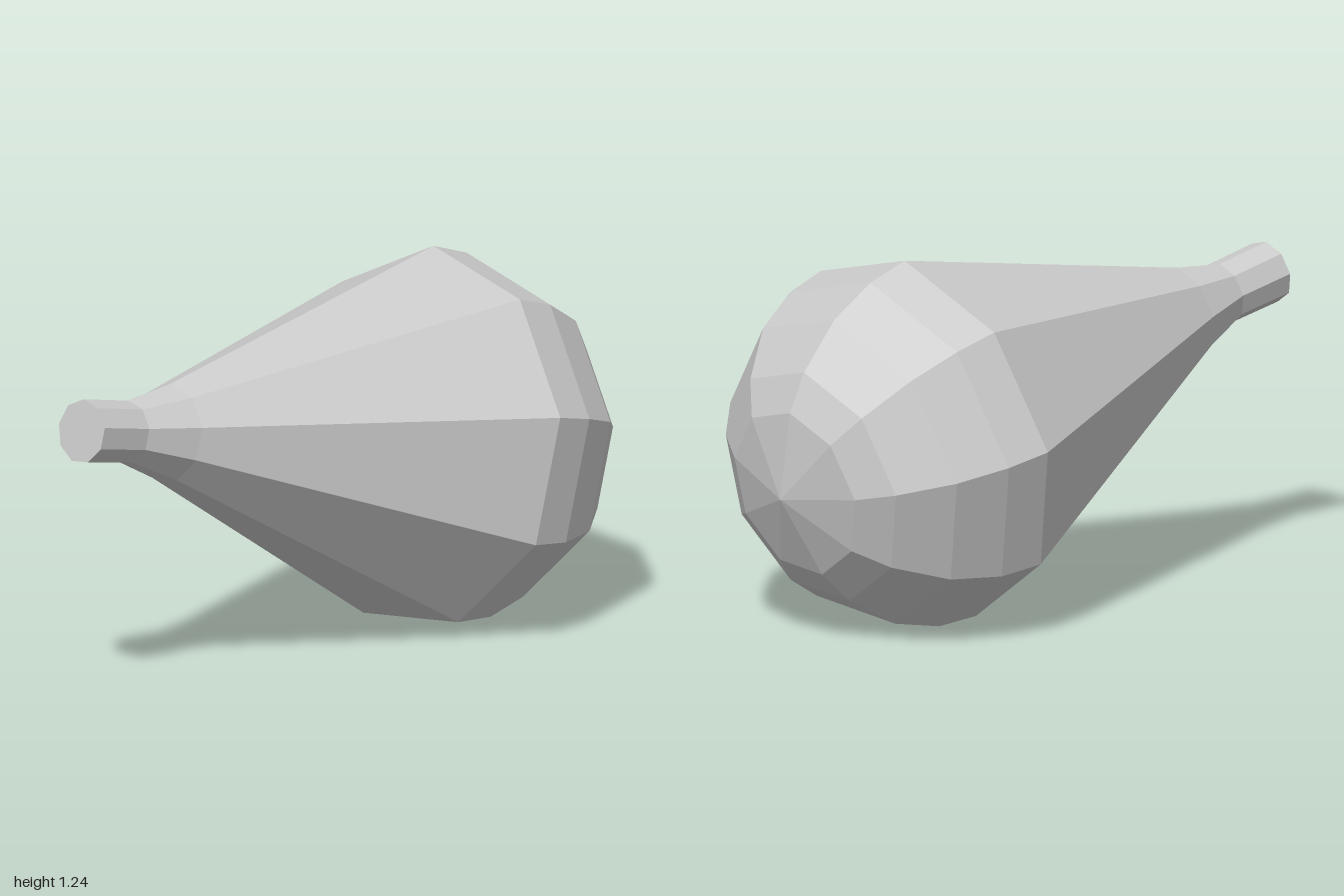
import * as THREE from 'three';

export function createModel() {
  const model = new THREE.Group();
  const material = new THREE.MeshStandardMaterial({ color: 0xcccccc, flatShading: true });

  // Bulb profile: radius, distance along the axis from the neck end
  const profile = [
    [0, 0], [0.107, 0],                                // flat neck end
    [0.105, 0.217], [0.163, 0.412],                    // neck and flare
    [0.638, 1.638],                                    // widest ring
    [0.617, 1.80], [0.546, 1.975], [0.41, 2.13], [0.29, 2.208], [0, 2.28], // dome
  ].map(([r, t]) => new THREE.Vector2(r, t));

  const bulb = new THREE.Mesh(new THREE.LatheGeometry(profile, 9), material);
  bulb.name = 'bulb';

  // Lay the axis from the neck end to the dome tip, with one ridge facing up
  const neckEnd = new THREE.Vector3(-0.745, 0.94, 0.94);
  const domeTip = new THREE.Vector3(0.57, 0.5, -0.87);
  const axis = domeTip.clone().sub(neckEnd).normalize();
  const ridge = new THREE.Vector3(0.028, 0.976, -0.215);
  const side = new THREE.Vector3().crossVectors(axis, ridge).normalize();
  ridge.crossVectors(side, axis);
  bulb.quaternion.setFromRotationMatrix(new THREE.Matrix4().makeBasis(side, axis, ridge));
  bulb.position.copy(neckEnd);

  model.add(bulb);
  return model;
}
